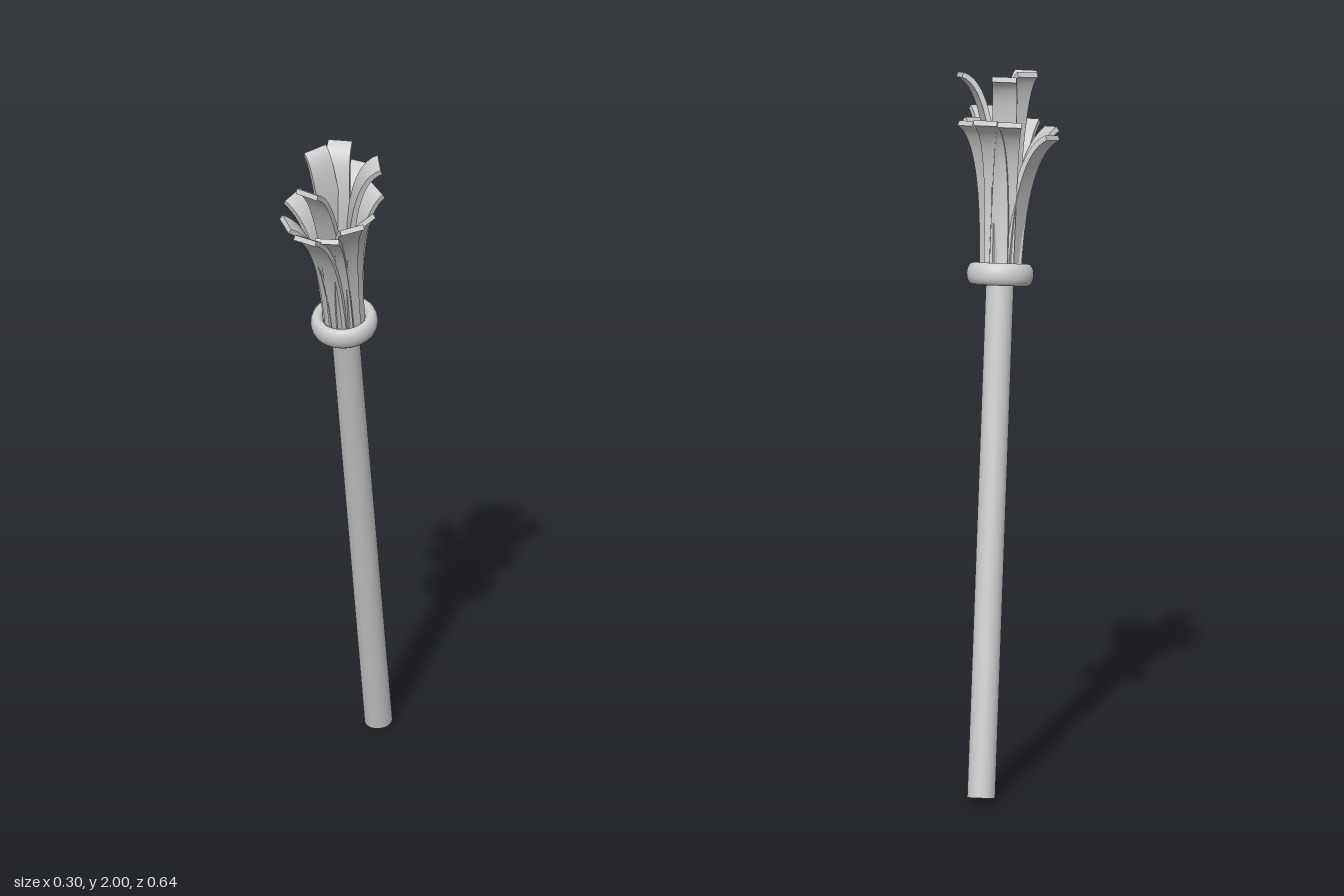
import * as THREE from 'three';

const material = new THREE.MeshStandardMaterial({ color: 0xcccccc });
const foot = new THREE.Vector3(0.0125, 0.009, -0.284);
const collar = new THREE.Vector3(0.0125, 1.427, 0.05);
const axis = collar.clone().sub(foot).normalize();
const upright = new THREE.Quaternion().setFromUnitVectors(new THREE.Vector3(0, 1, 0), axis);

// Point on the tilted centre line at a given height
const axisAt = (y) => foot.clone().addScaledVector(axis, (y - foot.y) / axis.y);

// Flat strip that rises along the handle line, then curls outward to its tip
function strip(tip, baseRadius, bendRadius, bendHeight) {
  const out = tip.clone().sub(axisAt(tip.y));
  out.addScaledVector(axis, -out.dot(axis)).normalize();
  const side = new THREE.Vector3().crossVectors(axis, out).normalize();
  const base = axisAt(1.4).addScaledVector(out, baseRadius);
  const bend = axisAt(1.4 + (tip.y - 1.4) * bendHeight).addScaledVector(out, bendRadius);
  const curve = new THREE.QuadraticBezierCurve3(base, bend, tip);

  const geometry = new THREE.BoxGeometry(0.068, 1, 0.015, 1, 16, 1);
  const pos = geometry.attributes.position;
  for (let i = 0; i < pos.count; i++) {
    const t = pos.getY(i) + 0.5;
    const normal = new THREE.Vector3().crossVectors(side, curve.getTangent(t));
    const p = curve.getPoint(t)
      .addScaledVector(side, pos.getX(i))
      .addScaledVector(normal, pos.getZ(i));
    pos.setXYZ(i, p.x, p.y, p.z);
  }
  geometry.computeVertexNormals();
  return geometry;
}

export function createModel() {
  const group = new THREE.Group();
  const add = (name, geometry) => {
    const mesh = new THREE.Mesh(geometry, material);
    mesh.name = name;
    group.add(mesh);
    return mesh;
  };

  // Tilted round handle, ending inside the bristles
  const top = axisAt(1.47);
  const handle = add('handle', new THREE.CylinderGeometry(0.039, 0.039, top.distanceTo(foot), 32));
  handle.position.copy(foot).add(top).multiplyScalar(0.5);
  handle.quaternion.copy(upright);

  // Binding ring, square to the handle and taller than it is thick
  const ringGeometry = new THREE.TorusGeometry(0.075, 0.019, 16, 40);
  ringGeometry.rotateX(Math.PI / 2).scale(1, 1.65, 1);
  const ring = add('bindingRing', ringGeometry);
  ring.position.copy(collar);
  ring.quaternion.copy(upright);

  // Lower tier of bristles, all round
  const lowerTips = [
    [-0.13, 1.815, 0.08], [-0.105, 1.805, 0.23], [-0.025, 1.805, 0.31],
    [0.03, 1.795, 0.28], [0.105, 1.845, 0.285], [0.12, 1.83, 0.2],
    [0.11, 1.855, 0.05], [0.04, 1.88, -0.042], [-0.027, 1.875, -0.033],
  ];
  lowerTips.forEach((t, i) =>
    add('lowerBristle' + (i + 1), strip(new THREE.Vector3(...t), 0.04, 0.042, 0.86)));

  // Taller tier in the middle, curling more sharply
  const upperTips = [
    [-0.022, 1.945, 0.3], [0.138, 1.975, 0.125],
    [0, 1.985, 0.045], [-0.055, 1.985, 0.112],
  ];
  upperTips.forEach((t, i) =>
    add('upperBristle' + (i + 1), strip(new THREE.Vector3(...t), 0.022, 0.02, 0.93)));

  return group;
}
